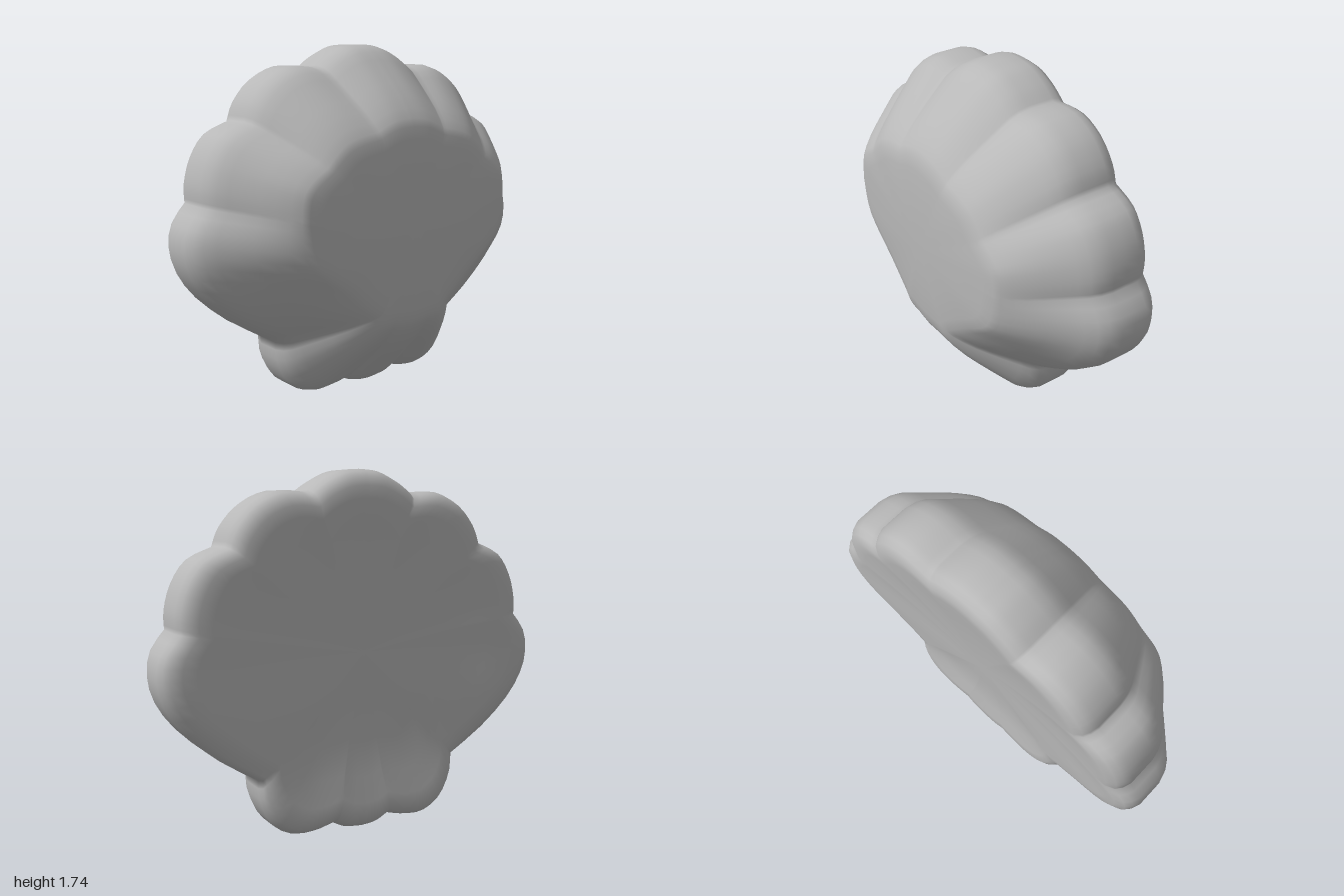
import * as THREE from 'three';
import { mergeVertices } from 'three/addons/utils/BufferGeometryUtils.js';

const STEPS = 12; // samples per lobe
const CENTRE = new THREE.Vector2(0, 0.88);

// Lobes of the +x half, anticlockwise from the bottom; lobes meet in creases.
// rim: points on the outer edge; crown: where that lobe meets the front plateau.
const lobes = [
  { rim: [[0, 0.005], [0.08, 0.015], [0.15, 0.05]], crown: [[0, 0.42], [0.1, 0.43]] },
  { rim: [[0.15, 0.05], [0.25, 0.025], [0.36, 0.025], [0.46, 0.085], [0.52, 0.2], [0.53, 0.31]], crown: [[0.1, 0.43], [0.16, 0.44], [0.2, 0.48]] },
  { rim: [[0.53, 0.31], [0.72, 0.43], [0.88, 0.57], [0.97, 0.7], [1, 0.82], [0.98, 0.93], [0.91, 1.02]], crown: [[0.2, 0.48], [0.34, 0.6], [0.55, 0.77], [0.6, 0.96]] },
  { rim: [[0.91, 1.02], [0.91, 1.11], [0.875, 1.23], [0.8, 1.335], [0.675, 1.39]], crown: [[0.6, 0.96], [0.58, 1.09], [0.47, 1.18]] },
  { rim: [[0.675, 1.39], [0.64, 1.48], [0.55, 1.58], [0.42, 1.637], [0.275, 1.63]], crown: [[0.47, 1.18], [0.36, 1.27], [0.2, 1.31]] },
  { rim: [[0.275, 1.63], [0.2, 1.685], [0.1, 1.73], [0, 1.74]], crown: [[0.2, 1.31], [0.1, 1.35], [0, 1.36]] },
];

function sample(key) {
  const half = [];
  for (const lobe of lobes) {
    const curve = new THREE.SplineCurve(lobe[key].map(([x, y]) => new THREE.Vector2(x, y)));
    half.push(...curve.getPoints(STEPS).slice(0, -1));
  }
  const last = lobes[lobes.length - 1][key];
  const [topX, topY] = last[last.length - 1];
  const mirrored = half.slice(1).reverse().map(p => new THREE.Vector2(-p.x, p.y));
  return [...half, new THREE.Vector2(topX, topY), ...mirrored];
}

function shellGeometry() {
  const rim = sample('rim');
  const crown = sample('crown');
  const rings = [];
  const add = (curve, z) => rings.push(curve.map(p => new THREE.Vector3(p.x, p.y, z(p))));
  const scaled = (curve, s) => curve.map(p => CENTRE.clone().lerp(p, s));

  // Slightly hollow back with a rounded edge, pinched near the hinge
  const back = [[0, -0.285], [0.25, -0.287], [0.5, -0.297], [0.7, -0.309], [0.84, -0.321], [0.91, -0.32], [0.96, -0.3], [0.985, -0.27], [1, -0.23]];
  for (const [s, z] of back) {
    add(scaled(rim, s), p => z - 0.01 * p.x * p.x + (z < -0.28 ? 0.025 * Math.exp(-(((p.y - 0.38) / 0.2) ** 2)) : 0));
  }

  // Sloping front flanks, ribs fading out towards the plateau
  const flank = [[0, -0.17], [0, -0.1], [0.035, -0.045], [0.1, 0], [0.2, 0.042], [0.33, 0.095], [0.48, 0.155], [0.63, 0.212], [0.78, 0.26], [0.9, 0.292], [1, 0.31]];
  for (const [t, z] of flank) add(rim.map((p, i) => p.clone().lerp(crown[i], t)), () => z);

  // Nearly flat front plateau
  for (const [s, z] of [[0.88, 0.319], [0.6, 0.328], [0.3, 0.332], [0, 0.333]]) add(scaled(crown, s), () => z);

  // Join neighbouring rings
  const n = rim.length;
  const index = [];
  for (let r = 0; r < rings.length - 1; r++) {
    for (let i = 0; i < n; i++) {
      const a = r * n + i, b = r * n + (i + 1) % n;
      index.push(a, b, b + n, a, b + n, a + n);
    }
  }
  const geometry = new THREE.BufferGeometry().setFromPoints(rings.flat());
  geometry.setIndex(index);
  const merged = mergeVertices(geometry, 1e-5);
  merged.computeVertexNormals();
  return merged;
}

export function createModel() {
  const group = new THREE.Group();
  group.name = 'scallopShell';
  const grey = new THREE.MeshStandardMaterial({ color: 0xb8b8b8 });
  grey.name = 'shell grey';
  const shell = new THREE.Mesh(shellGeometry(), grey);
  shell.name = 'shell';
  group.add(shell);
  return group;
}
